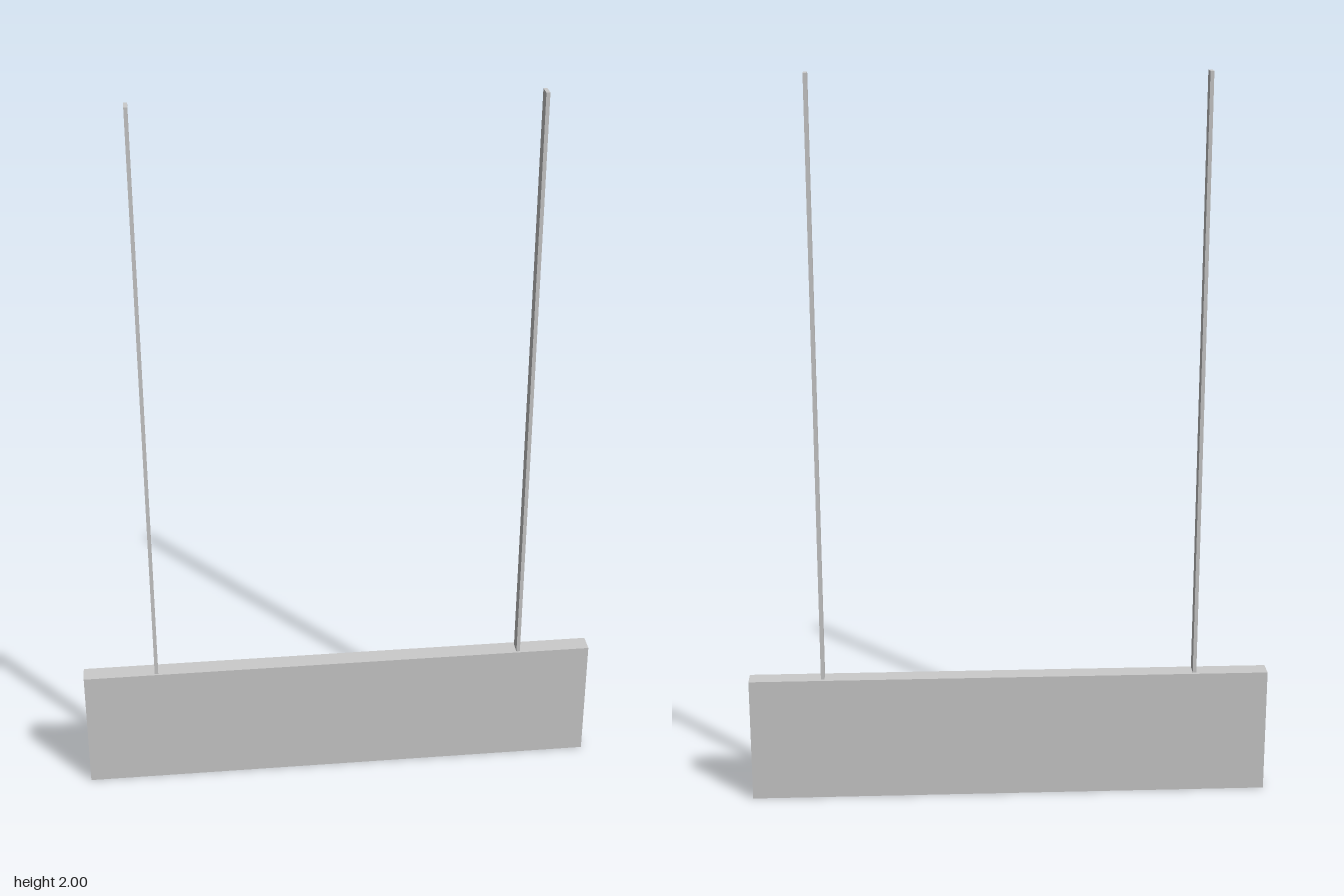
import * as THREE from 'three';

export function createModel() {
  const group = new THREE.Group();
  const material = new THREE.MeshStandardMaterial({ color: 0xcccccc });

  const addBox = (name, size, position) => {
    const mesh = new THREE.Mesh(new THREE.BoxGeometry(...size), material);
    mesh.name = name;
    mesh.position.set(...position);
    group.add(mesh);
  };

  const height = 2, panelHeight = 0.352;

  // Hanging sign panel
  addBox('signPanel', [1.436, panelHeight, 0.052], [0, panelHeight / 2, 0]);

  // Flat suspension straps rising from the panel's top edge
  const strapHeight = height - panelHeight;
  for (const side of [-1, 1]) {
    addBox(side > 0 ? 'leftStrap' : 'rightStrap',
      [0.01, strapHeight, 0.037],
      [side * 0.515, panelHeight + strapHeight / 2, 0.002]);
  }

  return group;
}
